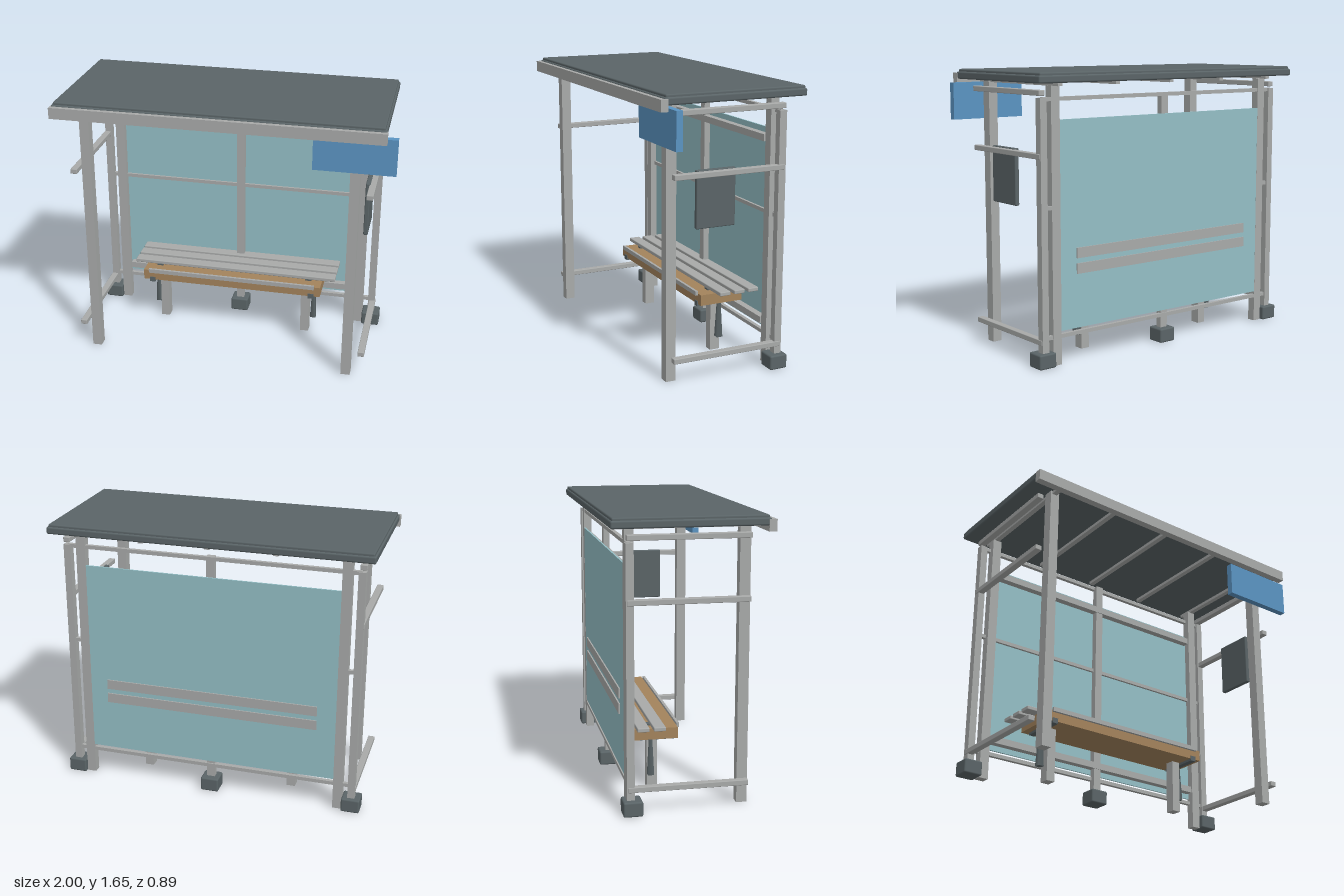
import * as THREE from 'three';
import { RoundedBoxGeometry } from 'three/addons/geometries/RoundedBoxGeometry.js';

const material = (name, color) => {
  const m = new THREE.MeshStandardMaterial({ color });
  m.name = name;
  return m;
};

export function createModel() {
  const metal = material('galvanised grey', 0xa8aaa9);
  const dark = material('dark slate', 0x5a6467);
  const glass = material('pale teal glass', 0x94bfc6);
  const wood = material('brown wood', 0xa3835c);
  const blue = material('sign blue', 0x5b94c2);

  const model = new THREE.Group();
  model.name = 'busShelter';
  const MID = -0.03; // centre line of the frame

  // Box from its limits on each axis, optionally with rounded edges
  function box(name, mat, [x0, x1], [y0, y1], [z0, z1], radius = 0) {
    const size = [x1 - x0, y1 - y0, z1 - z0];
    const geo = radius
      ? new RoundedBoxGeometry(...size, 2, radius)
      : new THREE.BoxGeometry(...size);
    const mesh = new THREE.Mesh(geo, mat);
    mesh.name = name;
    mesh.position.set((x0 + x1) / 2, (y0 + y1) / 2, (z0 + z1) / 2);
    model.add(mesh);
    return mesh;
  }
  const around = (c, w) => [c - w / 2, c + w / 2];

  // Roof: slab, raised top sheet, front gutter and purlins
  box('roofSlab', dark, [-0.995, 0.935], [1.592, 1.635], [-0.445, 0.42], 0.01);
  box('roofTop', dark, [-0.985, 0.925], [1.625, 1.65], [-0.437, 0.41], 0.008);
  box('gutter', metal, [-1, 0.94], [1.56, 1.627], [0.404, 0.447]);
  for (const x of [-0.83, -0.43, MID, 0.37, 0.77])
    box('purlin', metal, around(x, 0.03), [1.573, 1.593], [-0.4, 0.405]);

  // Mirrored side frames
  for (const s of [-1, 1]) {
    const postX = around(MID + s * 0.797, 0.057);
    box('frontPost', metal, postX, [0, 1.592], [0.286, 0.347]);
    box('rearPost', metal, postX, [0, 1.575], [-0.35, -0.3]);
    const outerX = MID + s * 0.88;
    box('outerRearPost', metal, around(outerX, 0.043), [0.08, 1.51], [-0.356, -0.312]);
    for (const y of [0.145, 1.19, 1.537])
      box('sideRail', metal, around(outerX + s * 0.005, 0.04), around(y, 0.031), [-0.35, 0.333], 0.004);
    box('foot', dark, around(outerX, 0.112), [0, 0.086], [-0.38, -0.27], 0.01);
  }

  // Rear wall: centre post, long rails, glazing bars and pane
  box('centrePost', metal, around(MID, 0.05), [0.08, 1.512], [-0.34, -0.302]);
  box('centreFoot', dark, around(MID, 0.112), [0, 0.086], [-0.38, -0.27], 0.01);
  for (const y of [0.165, 0.902, 1.502])
    box('rearRail', metal, [-0.91, 0.85], around(y, 0.022), [-0.348, -0.325]);
  for (const y of [0.248, 1.335])
    box('glazingBar', metal, [-0.787, 0.728], around(y, 0.04), [-0.34, -0.297]);
  box('glassPane', glass, [-0.8, 0.74], [0.195, 1.388], [-0.3495, -0.34]);
  for (const y of [0.54, 0.63])
    box('rearSlat', metal, [-0.685, 0.63], around(y, 0.06), [-0.358, -0.345]);

  // Bench: wooden body, seat slats and front edge strip
  box('benchBody', wood, [-0.607, 0.548], [0.322, 0.387], [-0.273, 0]);
  for (const z of [-0.12, -0.215, -0.308])
    box('seatSlat', metal, [-0.685, 0.63], [0.392, 0.416], around(z, 0.07), 0.005);
  box('seatFrontStrip', metal, [-0.57, 0.51], [0.376, 0.402], [0, 0.016]);
  for (const s of [-1, 1]) {
    const seatX = MID + s * 0.49;
    box('seatBearer', dark, around(seatX, 0.04), [0.385, 0.395], [-0.33, -0.08]);
    box('benchLeg', metal, around(MID + s * 0.469, 0.054), [0, 0.322], [-0.168, -0.107]);
    const braceX = MID + s * 0.52;
    box('benchBracket', dark, around(braceX, 0.036), [0.308, 0.34], [-0.25, 0.005]);
    // Tapered support strut
    const strut = new THREE.Mesh(
      new THREE.CylinderGeometry(0.012, 0.026, 0.23, 4, 1).rotateY(Math.PI / 4), dark);
    strut.name = 'benchStrut';
    strut.position.set(braceX, 0.205, -0.15);
    model.add(strut);
  }

  // Hanging sign and information panel
  box('sign', blue, [0.527, 0.997], [1.358, 1.573], [0.347, 0.386]);
  box('infoPanel', dark, [0.815, 0.842], [0.882, 1.212], [-0.055, 0.185], 0.006);

  return model;
}
